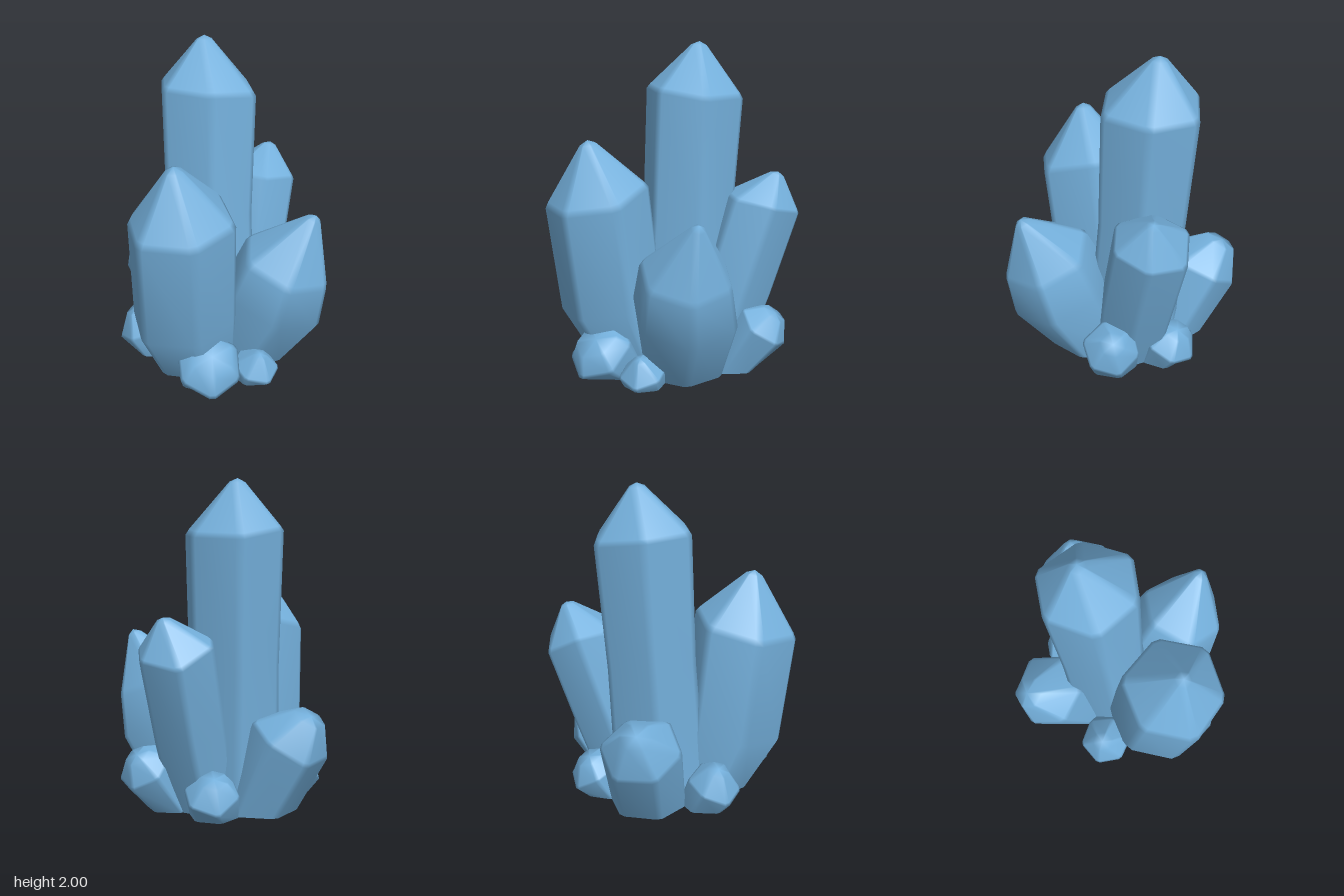
import * as THREE from 'three';

// Small seeded generator for natural irregularity
function seeded(seed) {
  let s = seed * 7919 + 17;
  return () => ((s = (s * 16807) % 2147483647) / 2147483647) * 2 - 1;
}

// Each crystal: rings from ground to shoulder [x, y, z, radius], then the tip point.
// blunt is the width of the tip relative to the shoulder.
const CRYSTALS = [
  { name: 'mainCrystal', turn: 0, blunt: 0.16,
    rings: [[0.01, 0, -0.05, 0.31], [0.04, 0.9, -0.115, 0.29], [0.07, 1.68, -0.16, 0.308]], tip: [0.08, 2, -0.21] },
  { name: 'leftCrystal', turn: 12, blunt: 0.16,
    rings: [[-0.24, 0, 0.13, 0.25], [-0.36, 0.4, 0.2, 0.32], [-0.415, 1.06, 0.265, 0.325]], tip: [-0.47, 1.43, 0.29] },
  { name: 'frontCrystal', turn: -6, blunt: 0.16,
    rings: [[0.11, 0, 0.22, 0.26], [0.19, 0.45, 0.4, 0.325], [0.215, 0.69, 0.47, 0.285]], tip: [0.33, 1.04, 0.6] },
  { name: 'rightCrystal', turn: 0, blunt: 0.18,
    rings: [[0.22, 0, -0.04, 0.22], [0.36, 0.5, -0.105, 0.235], [0.5, 1, -0.185, 0.24]], tip: [0.6, 1.21, -0.2] },
  { name: 'backCrystal', turn: 15, blunt: 0.4,
    rings: [[-0.03, 0, -0.29, 0.24], [-0.1, 0.47, -0.51, 0.25]], tip: [-0.14, 0.62, -0.64] },
  { name: 'smallRightCrystal', turn: 20, blunt: 0.45,
    rings: [[0.39, 0, 0.05, 0.16], [0.58, 0.28, 0.045, 0.175]], tip: [0.65, 0.37, 0.03] },
  { name: 'smallBackRightCrystal', turn: 10, blunt: 0.5,
    rings: [[0.29, 0, -0.26, 0.15], [0.345, 0.15, -0.315, 0.17]], tip: [0.36, 0.26, -0.36] },
  { name: 'smallBackLeftCrystal', turn: 25, blunt: 0.4,
    rings: [[-0.35, 0, -0.13, 0.16], [-0.43, 0.16, -0.17, 0.165]], tip: [-0.47, 0.29, -0.2] },
  { name: 'smallFrontLeftCrystal', turn: 8, blunt: 0.65,
    rings: [[-0.29, 0, 0.34, 0.18], [-0.34, 0.16, 0.45, 0.205]], tip: [-0.35, 0.25, 0.5] },
  { name: 'tinyFrontCrystal', turn: 30, blunt: 0.3,
    rings: [[-0.04, 0, 0.5, 0.125], [-0.04, 0.09, 0.525, 0.145]], tip: [-0.04, 0.19, 0.57] },
];

// Six-sided lofted crystal with softened corners, a pointed crown and a flat base
function crystalGeometry({ rings, tip, turn, blunt }, seed) {
  const rand = seeded(seed);
  const apex = new THREE.Vector3(...tip);
  const axis = apex.clone().sub(new THREE.Vector3(...rings[0])).normalize();
  const radiusJitter = Array.from({ length: 6 }, () => 1 + 0.03 * rand());
  const heightJitter = Array.from({ length: 6 }, () => 0.12 * rand());
  const last = rings[rings.length - 1];
  const shoulder = new THREE.Vector3(...last);

  // Add a rounded shoulder and a blunt tip above the listed rings
  const levels = rings.map(([x, y, z, r], i) => ({
    c: new THREE.Vector3(x, y, z), r, lift: i === rings.length - 1 ? 1 : 0 }));
  for (const [t, k] of [[0.1, 0.93], [0.93, blunt]]) {
    levels.push({ c: shoulder.clone().lerp(apex, t), r: last[3] * k, lift: 1 - t });
  }

  const N = 12;
  const positions = [];
  const index = [];
  levels.forEach(({ c, r, lift }, i) => {
    const n = i === 0 ? new THREE.Vector3(0, 1, 0) : axis;
    const u = new THREE.Vector3(1, 0, 0).addScaledVector(n, -n.x).normalize();
    const v = new THREE.Vector3().crossVectors(n, u);
    for (let j = 0; j < N; j++) {
      const corner = j >> 1;
      const a = THREE.MathUtils.degToRad(turn + corner * 60 + (j % 2 ? 5 : -5));
      const rr = r * radiusJitter[corner];
      const p = c.clone().addScaledVector(u, Math.cos(a) * rr).addScaledVector(v, Math.sin(a) * rr)
        .addScaledVector(n, heightJitter[corner] * lift * r);
      positions.push(p.x, Math.max(0, p.y), p.z);
    }
  });
  for (let i = 0; i < levels.length - 1; i++) {
    for (let j = 0; j < N; j++) {
      const a = i * N + j, b = i * N + (j + 1) % N;
      index.push(a, b, a + N, b, b + N, a + N);
    }
  }

  // Close the tip
  const top = (levels.length - 1) * N;
  const apexId = positions.length / 3;
  positions.push(...tip);
  for (let j = 0; j < N; j++) index.push(top + j, top + (j + 1) % N, apexId);

  // Flat base with its own vertices for a sharp edge
  const base = positions.length / 3;
  positions.push(...positions.slice(0, N * 3));
  for (let j = 1; j < N - 1; j++) index.push(base, base + j + 1, base + j);

  const geometry = new THREE.BufferGeometry();
  geometry.setAttribute('position', new THREE.Float32BufferAttribute(positions, 3));
  geometry.setIndex(index);
  geometry.computeVertexNormals();
  return geometry;
}

export function createModel() {
  const group = new THREE.Group();
  group.name = 'crystalCluster';
  const material = new THREE.MeshStandardMaterial({ color: 0x74b0dc });
  material.name = 'crystal blue';
  CRYSTALS.forEach((spec, i) => {
    const mesh = new THREE.Mesh(crystalGeometry(spec, i + 1), material);
    mesh.name = spec.name;
    group.add(mesh);
  });
  return group;
}
